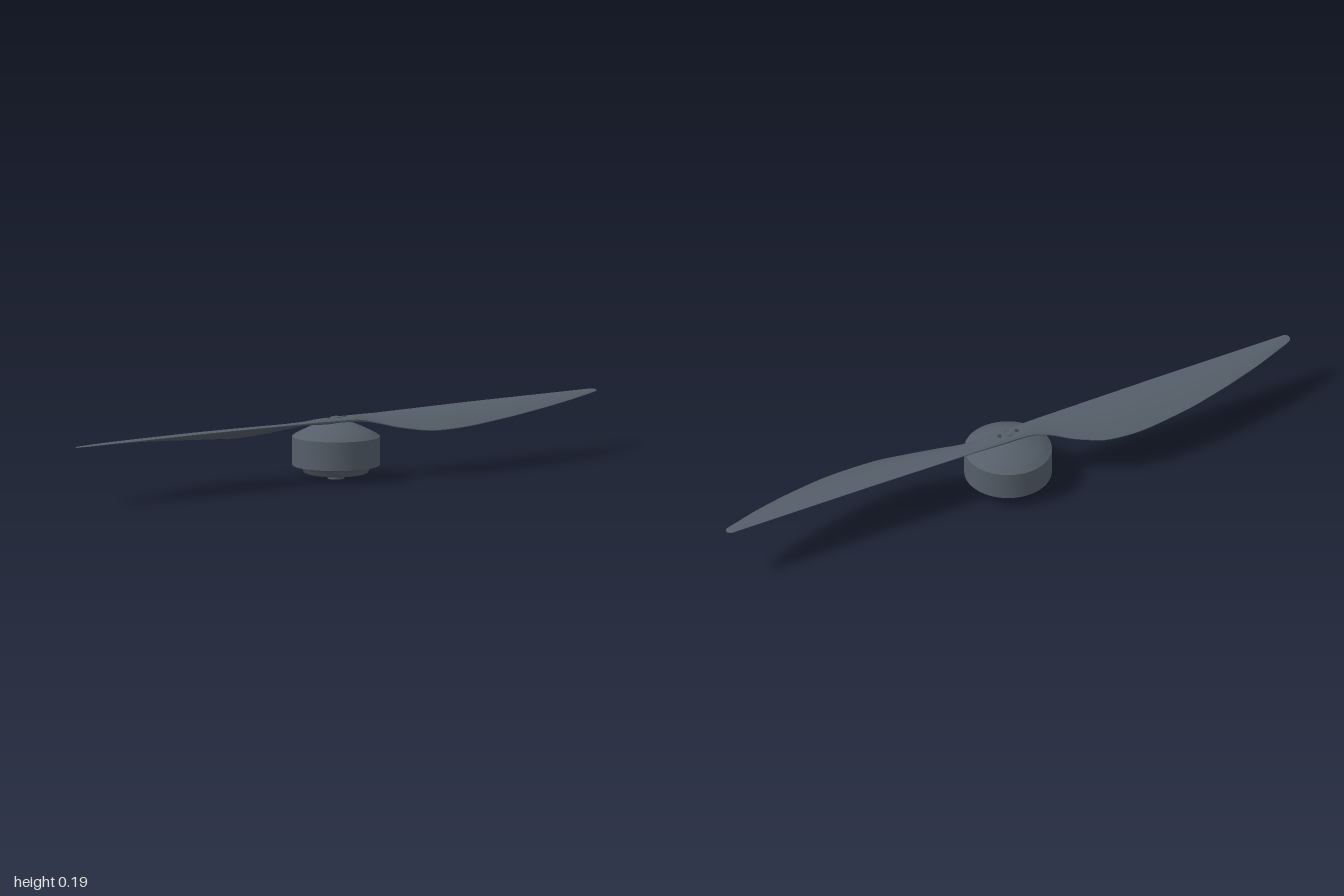
import * as THREE from 'three';
import { toCreasedNormals } from 'three/addons/utils/BufferGeometryUtils.js';

// Blade stations: z, leading x, trailing x, leading y, trailing y, camber, thickness
const STATIONS = [
  [0, 0.03, -0.03, 0.182, 0.182, 0.0, 0.02],
  [0.06, 0.03, -0.031, 0.183, 0.18, 0.001, 0.018],
  [0.12, 0.03, -0.042, 0.185, 0.169, 0.004, 0.013],
  [0.2, 0.03, -0.082, 0.186, 0.15, 0.009, 0.01],
  [0.3, 0.03, -0.118, 0.187, 0.138, 0.013, 0.008],
  [0.4, 0.03, -0.13, 0.188, 0.142, 0.012, 0.007],
  [0.55, 0.03, -0.12, 0.189, 0.153, 0.009, 0.006],
  [0.7, 0.03, -0.092, 0.189, 0.164, 0.006, 0.006],
  [0.85, 0.03, -0.052, 0.189, 0.175, 0.004, 0.005],
  [0.95, 0.03, -0.017, 0.189, 0.182, 0.002, 0.005],
  [0.985, 0.03, -0.004, 0.189, 0.185, 0.001, 0.004],
  [0.996, 0.026, 0.002, 0.189, 0.186, 0.0, 0.004],
  [1.0, 0.02, 0.008, 0.188, 0.187, 0.0, 0.003],
];

// Smooth value of one column between stations, limited so the edges do not overshoot
function sample(col, i, t) {
  const at = k => STATIONS[Math.min(Math.max(k, 0), STATIONS.length - 1)];
  const slope = k => {
    const a = at(k - 1), b = at(k), c = at(k + 1);
    const s0 = b[0] > a[0] ? (b[col] - a[col]) / (b[0] - a[0]) : 0;
    const s1 = c[0] > b[0] ? (c[col] - b[col]) / (c[0] - b[0]) : s0;
    return s0 * s1 <= 0 ? 0 : (2 * s0 * s1) / (s0 + s1);
  };
  const a = at(i), b = at(i + 1), h = b[0] - a[0], t2 = t * t, t3 = t2 * t;
  return (2 * t3 - 3 * t2 + 1) * a[col] + (t3 - 2 * t2 + t) * h * slope(i)
    + (3 * t2 - 2 * t3) * b[col] + (t3 - t2) * h * slope(i + 1);
}

function bladeGeometry() {
  const chord = 10, steps = 5, ring = 2 * (chord + 1);
  const pos = [], index = [];
  const addRing = (i, t) => {
    const z = STATIONS[i][0] + (STATIONS[i + 1][0] - STATIONS[i][0]) * t;
    const [lx, tx, ly, ty, camber, thick] = [1, 2, 3, 4, 5, 6].map(c => sample(c, i, t));
    for (let j = 0; j < ring; j++) {
      const top = j <= chord;
      const u = (top ? j : ring - 1 - j) / chord;
      const half = thick * 0.5 * (0.25 + 0.75 * Math.sqrt(Math.sin(Math.PI * Math.min(Math.max(u, 0), 1)) + 1e-9));
      const y = ly + (ty - ly) * u + camber * Math.sin(Math.PI * u) + (top ? half : -half);
      pos.push(lx + (tx - lx) * u, y, z);
    }
  };
  for (let i = 0; i < STATIONS.length - 1; i++)
    for (let s = 0; s < steps; s++) addRing(i, s / steps);
  addRing(STATIONS.length - 2, 1);
  const rings = pos.length / 3 / ring;
  for (let i = 0; i < rings - 1; i++)
    for (let j = 0; j < ring; j++) {
      const a = i * ring + j, b = i * ring + (j + 1) % ring;
      index.push(a, b, b + ring, a, b + ring, a + ring);
    }
  // tip cap
  const last = (rings - 1) * ring;
  for (let j = 1; j < ring - 1; j++) index.push(last, last + j, last + j + 1);
  const g = new THREE.BufferGeometry();
  g.setAttribute('position', new THREE.Float32BufferAttribute(pos, 3));
  g.setIndex(index);
  return toCreasedNormals(g, 0.7);
}

export function createModel() {
  const model = new THREE.Group();
  const slate = new THREE.MeshStandardMaterial({ color: 0x555e69 });
  slate.name = 'slate grey';
  const dark = new THREE.MeshStandardMaterial({ color: 0x3a4049 });
  dark.name = 'dark slate';

  const add = (name, geometry, material, x = 0, y = 0, z = 0) => {
    const m = new THREE.Mesh(geometry, material);
    m.name = name;
    m.position.set(x, y, z);
    model.add(m);
    return m;
  };
  const lathe = points => toCreasedNormals(
    new THREE.LatheGeometry(points.map(p => new THREE.Vector2(...p)), 64), 0.6);

  // Rotating bell with a domed top
  add('motorBell', lathe([
    [0, 0.043], [0.136, 0.043], [0.136, 0.133], [0.131, 0.135], [0.128, 0.139],
    [0.1, 0.153], [0.07, 0.167], [0.045, 0.176], [0.03, 0.178], [0, 0.178],
  ]), slate);

  // Fixed base flaring into the bell
  add('motorBase', lathe([
    [0, 0.017], [0.093, 0.017], [0.099, 0.02], [0.103, 0.026], [0.106, 0.033],
    [0.111, 0.039], [0.12, 0.043], [0, 0.043],
  ]), slate);

  add('shaft', new THREE.CylinderGeometry(0.027, 0.027, 0.02, 32), slate, 0, 0.01, 0);

  // Mounting holes under the base
  for (let i = 0; i < 4; i++) {
    const a = (i / 4) * Math.PI * 2;
    add('mountingHole', new THREE.CylinderGeometry(0.008, 0.008, 0.002, 16), dark,
      Math.sin(a) * 0.063, 0.0168, Math.cos(a) * 0.063);
  }

  // Two opposite blades joined at the hub
  const blade = bladeGeometry();
  add('frontBlade', blade, slate);
  add('backBlade', blade, slate).rotation.y = Math.PI;

  // Shaft end and screws on the hub
  const collar = add('hubCollar', new THREE.TorusGeometry(0.014, 0.002, 8, 32), slate, 0, 0.192, 0);
  collar.rotation.x = Math.PI / 2;
  add('shaftEnd', new THREE.CylinderGeometry(0.011, 0.011, 0.004, 24), slate, 0, 0.191, 0);
  for (const s of [-1, 1])
    add('hubScrew', new THREE.CylinderGeometry(0.007, 0.007, 0.003, 16), dark, 0, 0.1915, s * 0.03);

  return model;
}
